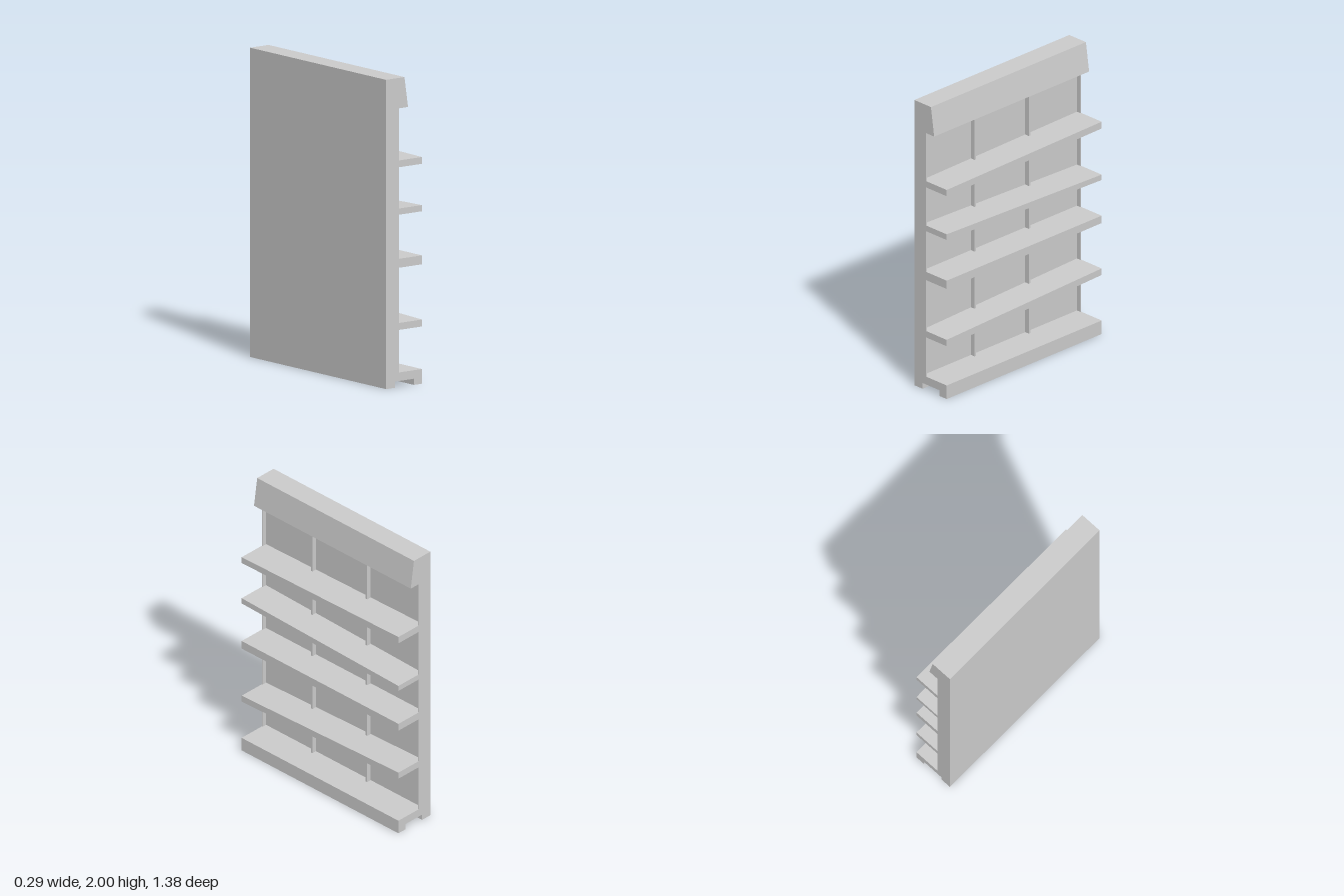
import * as THREE from 'three';

const material = new THREE.MeshStandardMaterial({ color: 0xcccccc, flatShading: true });
const HALF = 0.692;      // half of the unit's length along z
const BACK = -0.147;     // rear face
const PANEL = -0.072;    // recessed face behind the shelves
const FRAME = -0.04;     // front edge of end walls and dividers
const FRONT = 0.145;     // front edge of the shelves

function extrude(points, depth) {
  const shape = new THREE.Shape(points.map(([x, y]) => new THREE.Vector2(x, y)));
  return new THREE.ExtrudeGeometry(shape, { depth, bevelEnabled: false });
}

export function createModel() {
  const model = new THREE.Group();
  model.name = 'shelfUnit';
  const add = (name, geometry) => {
    const mesh = new THREE.Mesh(geometry, material);
    mesh.name = name;
    model.add(mesh);
    return mesh;
  };

  // Back panel, grooved base and sloping header share one cross-section
  add('body', extrude([
    [BACK, 0], [PANEL, 0], [PANEL, 0.04], [0.08, 0.04], [0.08, 0], [FRONT, 0],
    [FRONT, 0.095], [PANEL, 0.095], [PANEL, 1.803], [0.032, 1.803], [0.003, 2], [BACK, 2],
  ], 2 * HALF)).position.z = -HALF;

  // Thin end walls and narrow dividers in front of the back panel
  const upright = (name, z, width) => {
    const geometry = new THREE.BoxGeometry(FRAME - PANEL, 1.708, width);
    add(name, geometry).position.set((FRAME + PANEL) / 2, 0.949, z);
  };
  for (const side of [-1, 1]) upright('endWall', side * (HALF - 0.003), 0.006);
  for (const z of [0.253, -0.231]) upright('divider', z, 0.014);

  // Shelves: bottom and top heights at the +z end, then at the -z end
  const shelves = [
    [0.37, 0.415, 0.414, 0.46],
    [0.772, 0.83, 0.778, 0.83],
    [1.115, 1.155, 1.08, 1.118],
    [1.422, 1.466, 1.441, 1.489],
  ];
  for (const [low1, high1, low2, high2] of shelves) {
    const shelf = add('shelf', extrude(
      [[-HALF, low1], [HALF, low2], [HALF, high2], [-HALF, high1]], FRONT - PANEL));
    shelf.rotation.y = Math.PI / 2;
    shelf.position.x = PANEL;
  }
  return model;
}
